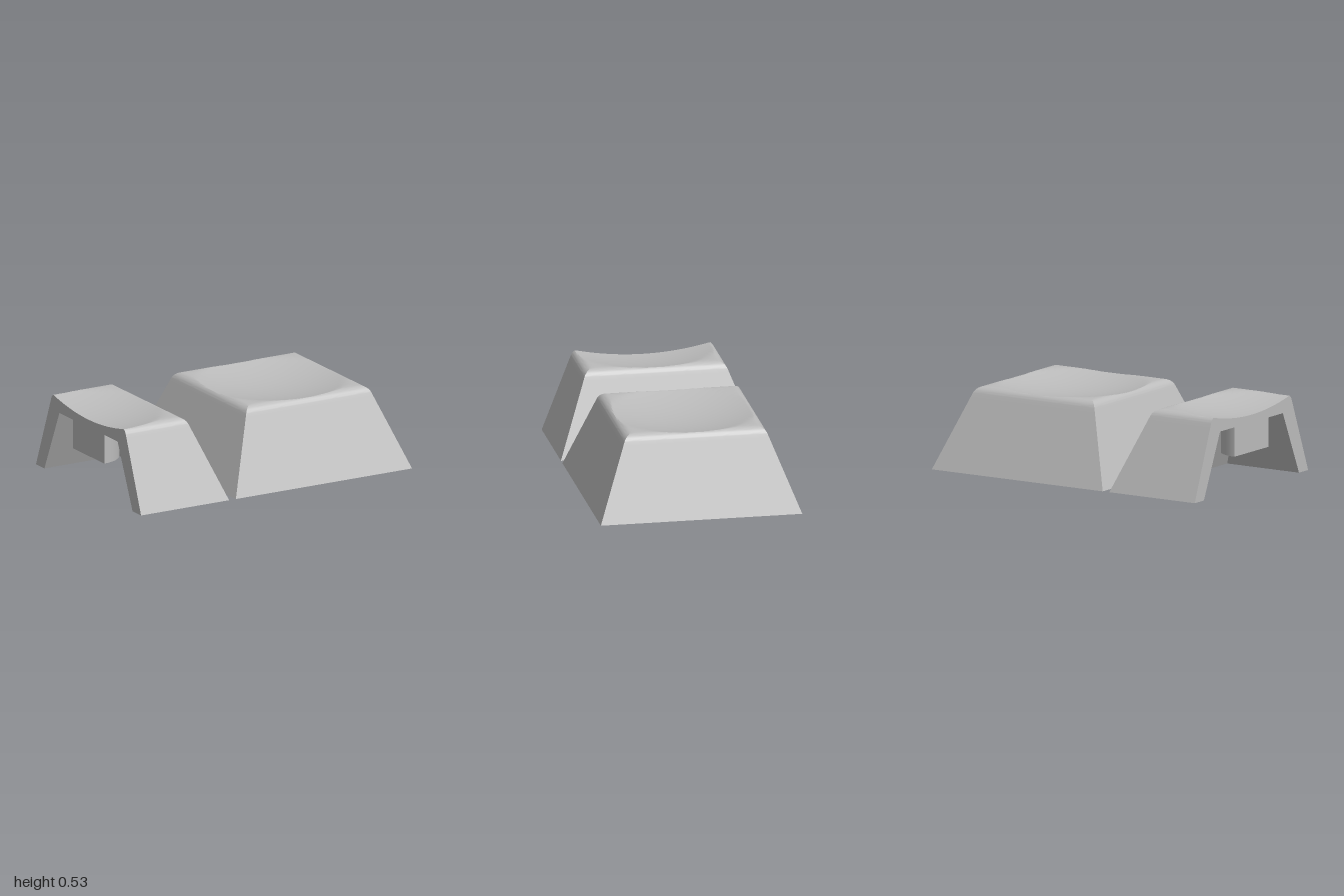
import * as THREE from 'three';
import { toCreasedNormals } from 'three/addons/utils/BufferGeometryUtils.js';

const BASE = 0.65, TOP = 0.527, LEAN = 0.388;       // half width, height, side slope
const RIM = 0.545, CEILING = 0.36, CEILING_Y = 0.415; // hollow underside
const STEM_R = 0.195, STEM_Y = 0.225;

// Outer profile from the base to the centre: [half width, height]
function outerProfile() {
  const points = [[BASE, 0], [BASE - LEAN * 0.46, 0.46]];
  const turn = Math.atan(1 / LEAN), r = 0.066;
  const edge = BASE - LEAN * TOP - r * Math.tan(turn / 2);
  for (let i = 0; i <= 10; i++) {
    const a = turn * (1 - i / 10);
    points.push([edge + r * Math.sin(a), TOP - r * (1 - Math.cos(a))]);
  }
  for (let i = 1; i <= 16; i++) points.push([edge * (1 - i / 16), TOP]);
  return points;
}

// Spherical dish pressed into the top
const dished = (y, x, z) => Math.min(y, 0.465 + (x * x + z * z) / 3.7);

const OUTER = outerProfile();
const INNER = [[BASE, 0], [RIM, 0], [CEILING, CEILING_Y], [0, CEILING_Y]];

// Mitred square shell: a wedge per side, swept inward along the profile
function shell(profile, { half, under }) {
  const wedges = half ? [[0, 0, 1], [1, -1, 1], [2, -1, 0]] : [0, 1, 2, 3].map(k => [k, -1, 1]);
  const positions = [];
  for (const [k, from, to] of wedges) {
    const cols = under ? 2 : 16 * (to - from);
    const cos = [1, 0, -1, 0][k], sin = [0, 1, 0, -1][k];
    const at = (i, j) => {
      const [m, y] = profile[i];
      const x = m * (from + (to - from) * j / cols);
      return [x * cos + m * sin, under ? y : dished(y, x, m), m * cos - x * sin];
    };
    const face = (a, b, c) => positions.push(...a, ...(under ? [...c, ...b] : [...b, ...c]));
    for (let i = 0; i < profile.length - 1; i++) {
      for (let j = 0; j < cols; j++) {
        const a = at(i, j), b = at(i, j + 1), c = at(i + 1, j + 1), d = at(i + 1, j);
        face(a, b, c);
        if (profile[i + 1][0] > 0) face(a, c, d);
      }
    }
  }
  const geometry = new THREE.BufferGeometry();
  geometry.setAttribute('position', new THREE.Float32BufferAttribute(positions, 3));
  return toCreasedNormals(geometry, 0.5);
}

// Flat face where the half cap is cut through its middle, stem included
function sectionFace() {
  const side = OUTER.map(([m, y]) => [m, dished(y, 0, m)]);
  const inside = [[RIM, 0], [CEILING, CEILING_Y], [STEM_R, CEILING_Y], [STEM_R, STEM_Y]];
  const mirror = list => list.map(([u, y]) => [-u, y]).reverse();
  const outline = [...side, ...mirror(side.slice(0, -1)), ...mirror(inside).reverse(), ...inside.slice().reverse()];
  const shape = new THREE.Shape(outline.map(([u, y]) => new THREE.Vector2(u, y)));
  return new THREE.ShapeGeometry(shape).rotateY(-Math.PI / 2);
}

export function createModel() {
  const plastic = new THREE.MeshStandardMaterial({ color: 0xbcbcbc });
  plastic.name = 'grey plastic';
  const model = new THREE.Group();
  model.name = 'keycaps';

  function addCap(name, x, half) {
    const cap = new THREE.Group();
    cap.name = name;
    cap.position.x = x;
    const add = (part, geometry) => {
      const mesh = new THREE.Mesh(geometry, plastic);
      mesh.name = part;
      cap.add(mesh);
      return mesh;
    };
    add('outerShell', shell(OUTER, { half, under: false }));
    add('hollowUnderside', shell(INNER, { half, under: true }));
    // Round stem hanging from the ceiling
    const height = CEILING_Y + 0.01 - STEM_Y;
    add('stem', new THREE.CylinderGeometry(STEM_R, STEM_R, height, half ? 24 : 48, 1, false, 0,
      half ? Math.PI : Math.PI * 2)).position.y = STEM_Y + height / 2;
    if (half) add('cutFace', sectionFace());
    model.add(cap);
  }

  addCap('wholeKeycap', 0.35, false);
  addCap('halfKeycap', -1, true);
  return model;
}
